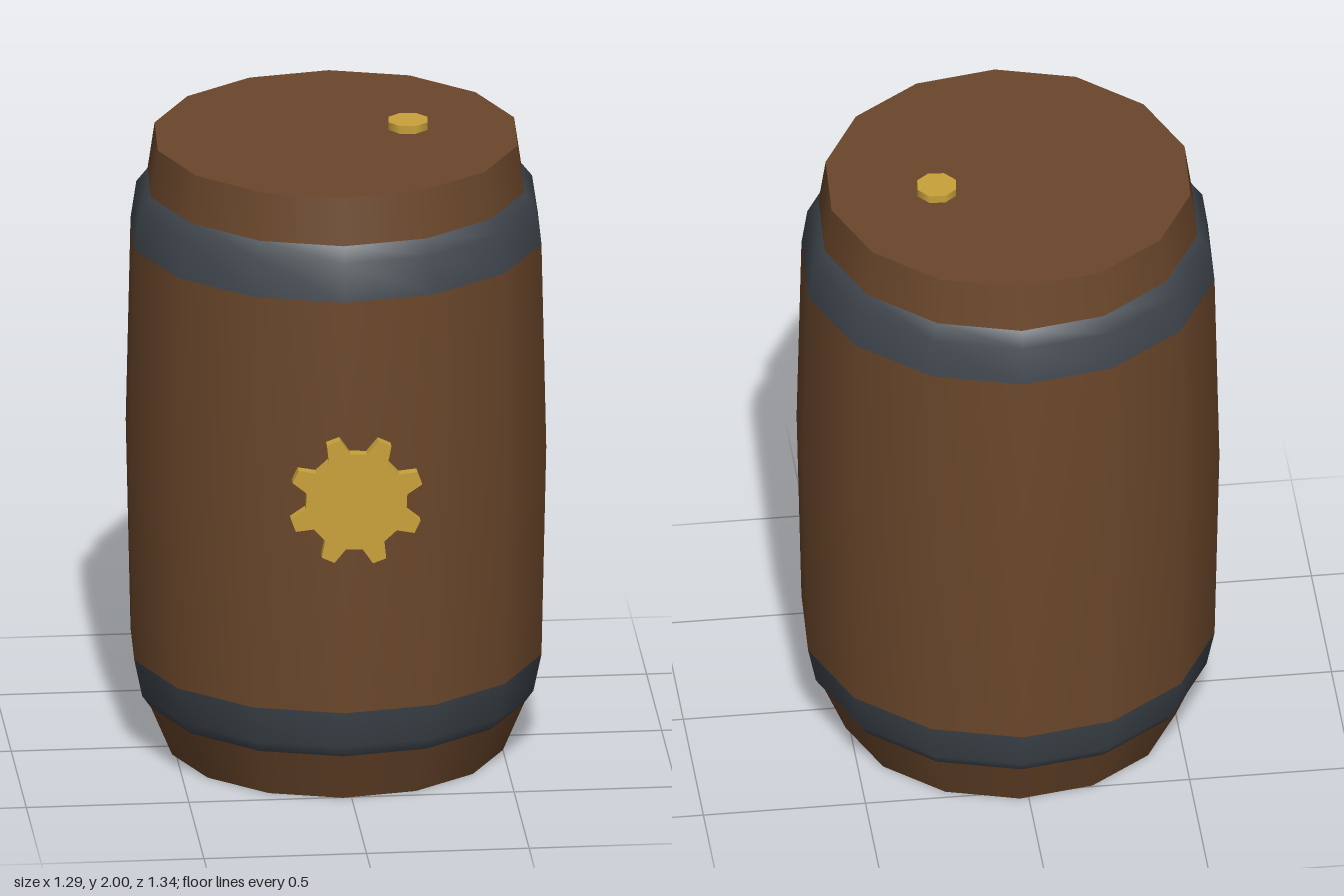
import * as THREE from 'three';

const SIDES = 14;
const PHASE = -0.052;

export function createModel() {
  const wood = new THREE.MeshStandardMaterial({ color: 0x6b472b });
  wood.name = 'wood';
  const iron = new THREE.MeshStandardMaterial({ color: 0x3f464d });
  iron.name = 'iron';
  const brass = new THREE.MeshStandardMaterial({ color: 0xc9a23a });
  brass.name = 'brass';

  const model = new THREE.Group();
  model.name = 'barrel';
  const shell = new THREE.Group();
  shell.name = 'shell';
  shell.position.z = -0.015;
  model.add(shell);

  const add = (parent, name, geometry, material) => {
    const mesh = new THREE.Mesh(geometry, material);
    mesh.name = name;
    parent.add(mesh);
    return mesh;
  };

  // Ring of the shell, turned from [radius, height] points
  const turned = (name, points, material) => add(shell, name,
    new THREE.LatheGeometry(points.map(([r, y]) => new THREE.Vector2(r, y)), SIDES, PHASE), material);

  // Staves and hoops, bottom to top
  turned('lowerStaves', [[0.52, 0], [0.587, 0.16]], wood);
  turned('lowerHoop', [[0.587, 0.16], [0.615, 0.2], [0.64, 0.32]], iron);
  turned('middleStaves', [[0.64, 0.32], [0.655, 1], [0.64, 1.66]], wood);
  turned('upperHoop', [[0.64, 1.66], [0.622, 1.78], [0.587, 1.825]], iron);
  turned('upperStaves', [[0.587, 1.825], [0.565, 1.975]], wood);

  // Flat ends
  turned('bottomHead', [[0, 0], [0.52, 0]], wood);
  turned('topHead', [[0.565, 1.975], [0, 1.975]], wood);

  // Bung on the lid
  const bungGeometry = new THREE.CylinderGeometry(0.064, 0.064, 0.035, 8, 1, false, 0.3);
  add(model, 'bung', bungGeometry, brass).position.set(0.225, 1.9825, -0.055);

  // Eight-toothed gear emblem on the front
  const outline = [];
  const toothProfile = [[-13, 0.157], [-8, 0.19], [-6, 0.208], [6, 0.208], [8, 0.19], [13, 0.157]];
  for (let tooth = 0; tooth < 8; tooth++) {
    for (const [offset, r] of toothProfile) {
      const a = THREE.MathUtils.degToRad(20 + tooth * 45 + offset);
      outline.push(new THREE.Vector2(r * Math.cos(a), r * Math.sin(a)));
    }
  }
  const gearGeometry = new THREE.ExtrudeGeometry(new THREE.Shape(outline), { depth: 0.034, bevelEnabled: false });
  add(model, 'gearEmblem', gearGeometry, brass).position.set(0, 1.026, 0.637);

  return model;
}
